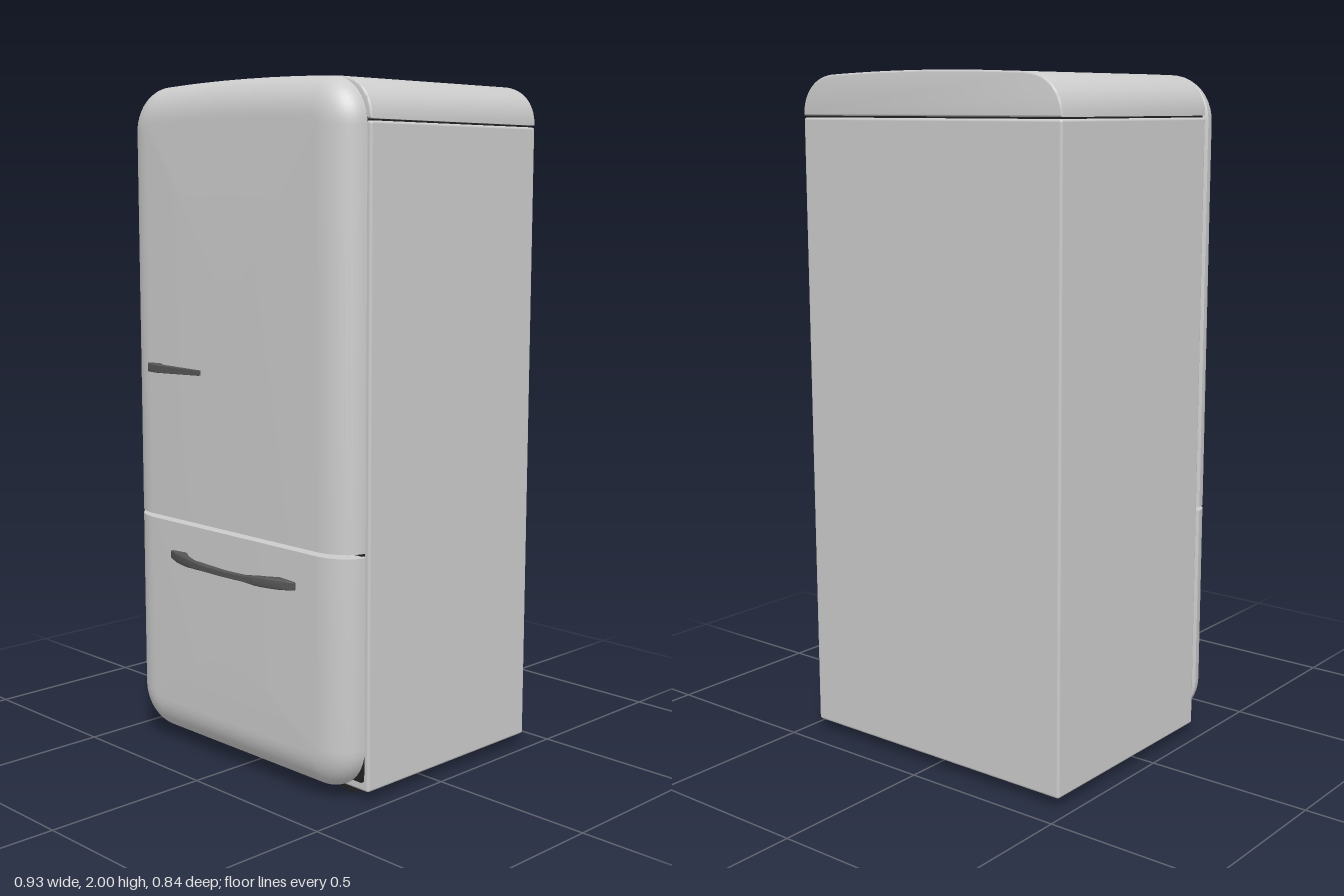
import * as THREE from 'three';
import { toCreasedNormals } from 'three/addons/utils/BufferGeometryUtils.js';
import { RoundedBoxGeometry } from 'three/addons/geometries/RoundedBoxGeometry.js';

const grey = new THREE.MeshStandardMaterial({ color: 0xcccccc });
const dark = new THREE.MeshStandardMaterial({ color: 0x555555 });
const black = new THREE.MeshStandardMaterial({ color: 0x222222 });

const HALF = 0.465, CORNER = 0.13;

function add(group, name, geometry, material, x = 0, y = 0, z = 0) {
  const mesh = new THREE.Mesh(geometry, material);
  mesh.name = name;
  mesh.position.set(x, y, z);
  group.add(mesh);
  return mesh;
}

// Door outline: straight along the seam (y = 0), rounded at the two far corners
function doorOutline(height, inset, dome) {
  const w = HALF - inset, h = height - inset, r = CORNER - inset;
  const pts = [[w, 0]];
  const arc = (cx, start) => {
    for (let i = 0; i <= 10; i++) {
      const a = start + (i / 10) * Math.PI / 2;
      pts.push([cx + r * Math.cos(a), h - r + r * Math.sin(a)]);
    }
  };
  arc(w - r, 0);
  for (let i = 1; i < 8; i++) {
    const t = 1 - i / 4;
    pts.push([(w - r) * t, h + dome * (1 - t * t)]);
  }
  arc(r - w, Math.PI / 2);
  pts.push([-w, 0]);
  return pts;
}

// Pillowed door: outlines stacked from back to front, shrinking on a quarter ellipse
function doorGeometry(height, dome) {
  const rings = [[0.012, 0.274]];
  for (let i = 0; i <= 10; i++) {
    const a = (i / 10) * Math.PI / 2;
    rings.push([0.11 * (1 - Math.cos(a)), 0.282 + 0.083 * Math.sin(a)]);
  }
  const pos = [], index = [];
  let n = 0;
  for (const [inset, z] of rings) {
    const outline = doorOutline(height, inset, dome);
    n = outline.length;
    for (const [x, y] of outline) pos.push(x, y, z);
  }
  const last = (rings.length - 1) * n, back = rings.length * n, front = back + 1;
  pos.push(0, height / 2, rings[0][1], 0, height / 2, 0.365);
  for (let i = 0; i < n; i++) {
    const j = (i + 1) % n;
    for (let k = 0; k < last; k += n) {
      index.push(k + i, k + j, k + n + j, k + i, k + n + j, k + n + i);
    }
    index.push(front, last + i, last + j, back, j, i);
  }
  const g = new THREE.BufferGeometry();
  g.setAttribute('position', new THREE.Float32BufferAttribute(pos, 3));
  g.setIndex(index);
  return toCreasedNormals(g, 0.5);
}

// Handle drawn as a plan (x, z), extruded upright; heightAt(x) scales its thickness
function handleGeometry(shape, thickness, bevel, heightAt) {
  const g = new THREE.ExtrudeGeometry(shape, {
    depth: thickness - 2 * bevel, bevelThickness: bevel, bevelSize: bevel,
    bevelOffset: -bevel, bevelSegments: 3, curveSegments: 20,
  });
  g.translate(0, 0, bevel - thickness / 2).rotateX(Math.PI / 2);
  const p = g.attributes.position;
  for (let i = 0; i < p.count; i++) p.setY(i, p.getY(i) * heightAt(p.getX(i)));
  return toCreasedNormals(g, 0.6);
}

export function createModel() {
  const model = new THREE.Group();
  model.name = 'refrigerator';

  // Cabinet with a dark recess below the lid and behind the doors
  add(model, 'cabinet', new RoundedBoxGeometry(2 * HALF, 1.842, 0.69, 3, 0.008), grey, 0, 0.951, -0.077);
  add(model, 'lidGroove', new THREE.BoxGeometry(0.91, 0.03, 0.67), black, 0, 1.875, -0.077);
  add(model, 'doorGasket', new THREE.BoxGeometry(0.9, 1.83, 0.03), black, 0, 0.975, 0.265);

  // Rounded, slightly domed lid
  const lid = new THREE.Shape();
  lid.moveTo(-HALF, 1.877);
  lid.lineTo(HALF, 1.877);
  lid.bezierCurveTo(HALF, 1.945, 0.415, 1.992, 0.335, 1.992);
  lid.quadraticCurveTo(0, 2.008, -0.335, 1.992);
  lid.bezierCurveTo(-0.415, 1.992, -HALF, 1.945, -HALF, 1.877);
  const lidGeometry = new THREE.ExtrudeGeometry(lid, {
    depth: 0.678, bevelThickness: 0.006, bevelSize: 0.005, bevelOffset: -0.005,
    bevelSegments: 3, curveSegments: 16,
  });
  add(model, 'lid', toCreasedNormals(lidGeometry, 0.6), grey, 0, 0, -0.416);

  // Doors meet at the seam; the lower one is turned upside down
  add(model, 'upperDoor', doorGeometry(1.275, 0.008), grey, 0, 0.717);
  add(model, 'lowerDoor', doorGeometry(0.675, 0), grey, 0, 0.705).rotation.z = Math.PI;

  // Tapered lever handle
  const lever = new THREE.Shape([
    [-0.342, 0.369], [-0.325, 0.369], [-0.325, 0.36], [-0.302, 0.36], [-0.302, 0.378],
    [-0.115, 0.373], [-0.115, 0.382], [-0.29, 0.401], [-0.342, 0.387],
  ].map(([x, z]) => new THREE.Vector2(x, z)));
  add(model, 'upperHandle', handleGeometry(lever, 0.026, 0.002,
    (x) => THREE.MathUtils.mapLinear(x, -0.342, -0.115, 1, 0.6)), dark, 0, 1.168);

  // Bowed pull handle with thicker ends
  const pull = new THREE.Shape();
  pull.moveTo(-0.27, 0.36);
  pull.lineTo(-0.205, 0.36);
  pull.quadraticCurveTo(-0.175, 0.385, -0.14, 0.394);
  pull.quadraticCurveTo(0, 0.412, 0.14, 0.394);
  pull.quadraticCurveTo(0.175, 0.385, 0.205, 0.36);
  pull.lineTo(0.27, 0.36);
  pull.lineTo(0.27, 0.371);
  pull.bezierCurveTo(0.13, 0.437, -0.13, 0.437, -0.27, 0.371);
  pull.closePath();
  add(model, 'lowerHandle', handleGeometry(pull, 0.03, 0.004,
    (x) => 0.6 + 0.4 * THREE.MathUtils.smoothstep(Math.abs(x), 0.1, 0.16)
      - 0.2 * THREE.MathUtils.smoothstep(Math.abs(x), 0.22, 0.27)), dark, 0.005, 0.605);

  // Feet
  for (const x of [-0.355, 0.355]) {
    for (const z of [0.215, -0.335]) {
      add(model, 'foot', new THREE.BoxGeometry(0.05, 0.034, 0.05), black, x, 0.017, z);
    }
  }
  return model;
}
